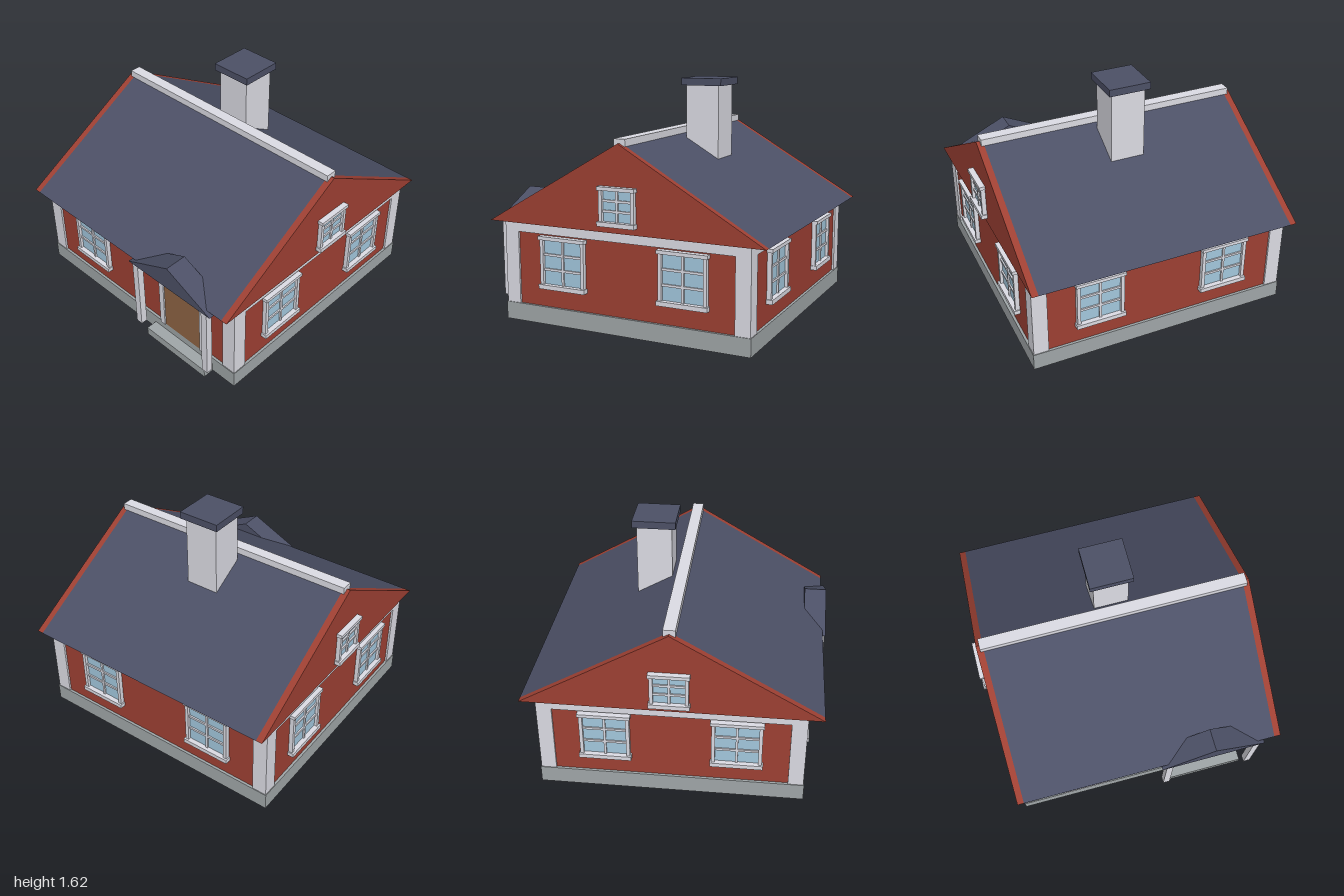
import * as THREE from 'three';

const mat = (name, color) => {
  const m = new THREE.MeshStandardMaterial({ color });
  m.name = name;
  return m;
};

export function createModel() {
  const red = mat('red boards', 0x9e4033);
  const white = mat('white trim', 0xdcdce4);
  const navy = mat('navy roofing', 0x4c5066);
  const stone = mat('grey stone', 0xa0a6a8);
  const brown = mat('brown door', 0x8f6444);
  const glass = mat('pale glass', 0xa3c8de);

  const model = new THREE.Group();
  model.name = 'cottage';

  // Box given by its low and high limits on each axis
  function box(parent, name, material, [x0, x1], [y0, y1], [z0, z1]) {
    const mesh = new THREE.Mesh(new THREE.BoxGeometry(x1 - x0, y1 - y0, z1 - z0), material);
    mesh.position.set((x0 + x1) / 2, (y0 + y1) / 2, (z0 + z1) / 2);
    mesh.name = name;
    parent.add(mesh);
    return mesh;
  }

  // Triangular prism along z, starting at z = 0
  function prism(halfWidth, height, depth) {
    const s = new THREE.Shape();
    s.moveTo(-halfWidth, 0);
    s.lineTo(halfWidth, 0);
    s.lineTo(0, height);
    s.closePath();
    return new THREE.ExtrudeGeometry(s, { depth, bevelEnabled: false });
  }

  const ZC = -0.01; // middle of the house
  const WALL_X = 0.912, WALL_Z = 0.872;
  const TRIM_X = 0.925, TRIM_Z = 0.885;
  const zSpan = (h) => [ZC - h, ZC + h];

  // Foundation, walls and the white band under the eaves
  box(model, 'foundation', stone, [-0.93, 0.93], [0, 0.12], zSpan(0.89));
  box(model, 'walls', red, [-WALL_X, WALL_X], [0.12, 0.62], zSpan(WALL_Z));
  box(model, 'frieze', white, [-TRIM_X, TRIM_X], [0.615, 0.68], zSpan(TRIM_Z));

  // Corner boards
  for (const sx of [-1, 1]) for (const sz of [-1, 1]) {
    const xs = [sx * TRIM_X, sx * 0.82].sort((a, b) => a - b);
    const zs = [ZC + sz * TRIM_Z, ZC + sz * 0.782].sort((a, b) => a - b);
    box(model, 'cornerBoard', white, xs, [0.12, 0.615], zs);
  }

  // Main roof: navy middle with a red gable at each end
  function roofSlice(name, material, x0, x1) {
    const mesh = new THREE.Mesh(prism(0.988, 0.57, x1 - x0).rotateY(Math.PI / 2), material);
    mesh.position.set(x0, 0.68, ZC);
    mesh.name = name;
    model.add(mesh);
  }
  roofSlice('roof', navy, -0.907, 0.907);
  roofSlice('leftGable', red, 0.907, 0.952);
  roofSlice('rightGable', red, -0.952, -0.907);
  box(model, 'ridgeCap', white, [-0.928, 0.928], [1.23, 1.277], zSpan(0.04));

  // Chimney
  box(model, 'chimney', white, [-0.12, 0.12], [1.0, 1.567], [-0.328, -0.088]);
  box(model, 'chimneyCap', navy, [-0.147, 0.147], [1.567, 1.617], [-0.355, -0.061]);

  // Window facing +z with its back on z = 0; hw is half the glass width
  function makeWindow(name, hw, h) {
    const g = new THREE.Group();
    g.name = name;
    const b = h / 2;
    box(g, 'glass', glass, [-hw, hw], [-b, b], [0, 0.009]);
    for (const s of [-1, 1]) {
      const xs = s < 0 ? [-hw - 0.024, -hw] : [hw, hw + 0.024];
      box(g, 'jamb', white, xs, [-b, b], [0, 0.03]);
    }
    box(g, 'head', white, [-hw - 0.032, hw + 0.032], [b, b + 0.024], [0, 0.04]);
    box(g, 'sill', white, [-hw - 0.032, hw + 0.032], [-b - 0.03, -b], [0, 0.043]);
    box(g, 'mullion', white, [-0.008, 0.008], [-b, b], [0, 0.02]);
    for (const y of [-h / 6, h / 6]) {
      box(g, 'glazingBar', white, [-hw, hw], [y - 0.008, y + 0.008], [0, 0.019]);
    }
    return g;
  }
  function addWindow(name, x, y, z, turn, hw = 0.143, h = 0.302) {
    const w = makeWindow(name, hw, h);
    w.position.set(x, y, z);
    w.rotation.y = turn;
    model.add(w);
  }
  addWindow('frontWindow', -0.455, 0.43, ZC + WALL_Z, 0);
  for (const s of [-1, 1]) {
    addWindow('backWindow', s * 0.455, 0.43, ZC - WALL_Z, Math.PI);
    for (const t of [-1, 1]) {
      addWindow('sideWindow', s * WALL_X, 0.43, ZC + t * 0.436, s * Math.PI / 2);
    }
    addWindow('gableWindow', s * 0.952, 0.855, ZC, s * Math.PI / 2, 0.102, 0.2);
  }

  // Door with its frame
  const DX = 0.456, front = ZC + WALL_Z;
  box(model, 'door', brown, [DX - 0.169, DX + 0.169], [0.12, 0.597], [front, front + 0.02]);
  for (const s of [-1, 1]) {
    const c = DX + s * 0.19;
    box(model, 'doorJamb', white, [c - 0.021, c + 0.021], [0.12, 0.597], [front, front + 0.03]);
  }
  box(model, 'doorHead', white, [DX - 0.211, DX + 0.211], [0.597, 0.63], [front, front + 0.03]);

  // Porch: step, two posts and a small gabled roof
  box(model, 'step', stone, [DX - 0.278, DX + 0.278], [0, 0.062], [0.87, 0.96]);
  for (const s of [-1, 1]) {
    const c = DX + s * 0.317;
    box(model, 'porchPost', white, [c - 0.024, c + 0.024], [0.12, 0.66], [0.948, 0.995]);
  }
  const porchRoof = new THREE.Mesh(prism(0.375, 0.175, 0.158), navy);
  porchRoof.position.set(DX, 0.658, 0.842);
  porchRoof.name = 'porchRoof';
  model.add(porchRoof);

  return model;
}
